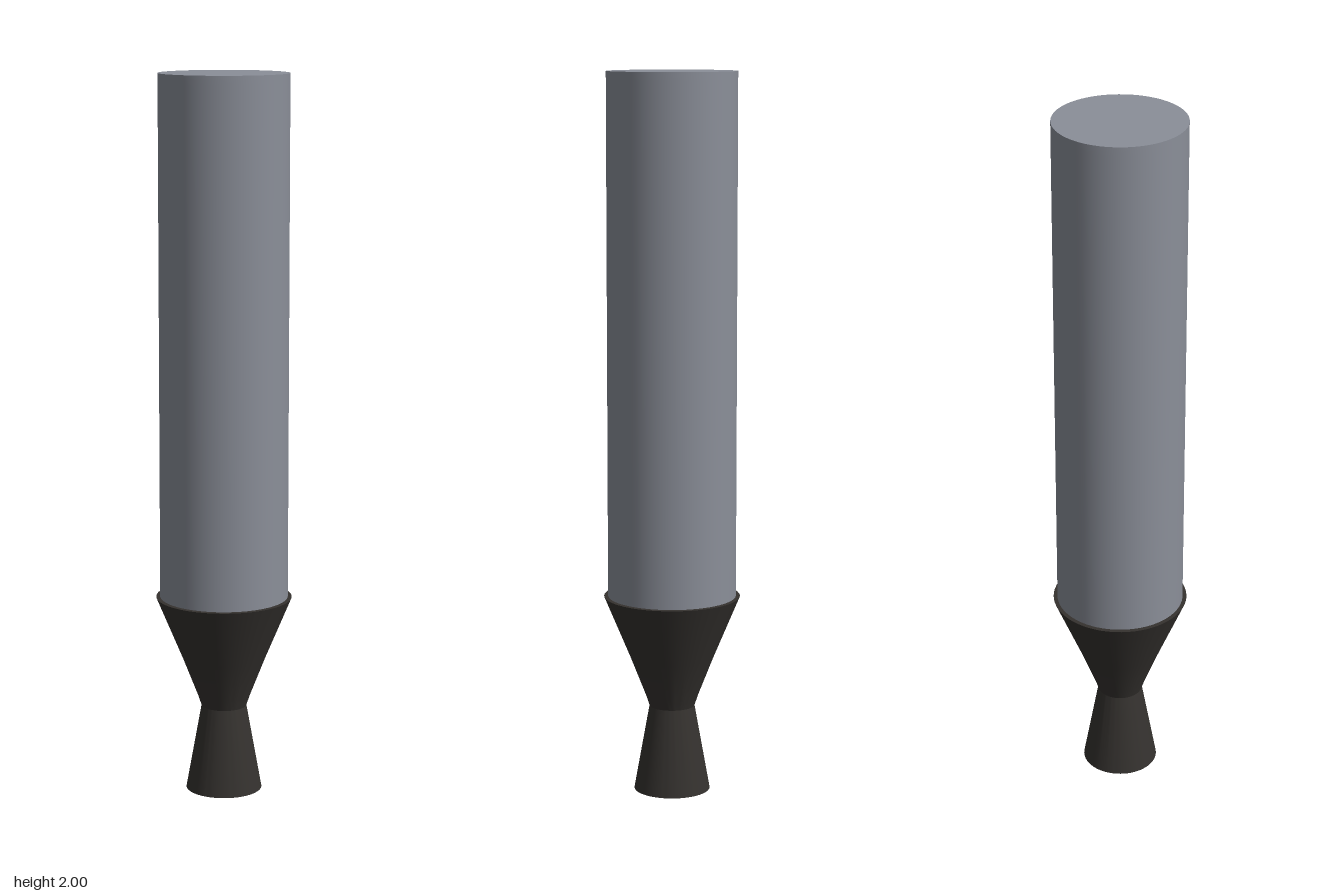
import * as THREE from 'three';
import { toCreasedNormals } from 'three/addons/utils/BufferGeometryUtils.js';

const SIDES = 64;

// Revolved part from [radius, height] pairs, with crisp edges at sharp corners
function lathe(name, profile, color) {
  const points = profile.map(([r, y]) => new THREE.Vector2(r, y));
  const geometry = toCreasedNormals(new THREE.LatheGeometry(points, SIDES), 0.4);
  const material = new THREE.MeshStandardMaterial({ color, side: THREE.DoubleSide });
  const mesh = new THREE.Mesh(geometry, material);
  mesh.name = name;
  return mesh;
}

export function createModel() {
  const group = new THREE.Group();
  group.name = 'rocketMotor';

  // Long cylindrical casing with flat ends
  group.add(lathe('casing', [
    [0, 0.556], [0.178, 0.556], [0.178, 1.975], [0.178, 2], [0, 2],
  ], 0x8b8f99));

  // Nozzle: open flared exit, narrow throat, wide cone and a ledge under the casing
  group.add(lathe('nozzle', [
    [0.106, 0], [0.063, 0.24], [0.073, 0.27], [0.116, 0.38], [0.189, 0.555], [0.17, 0.555],
  ], 0x35322f));

  return group;
}
